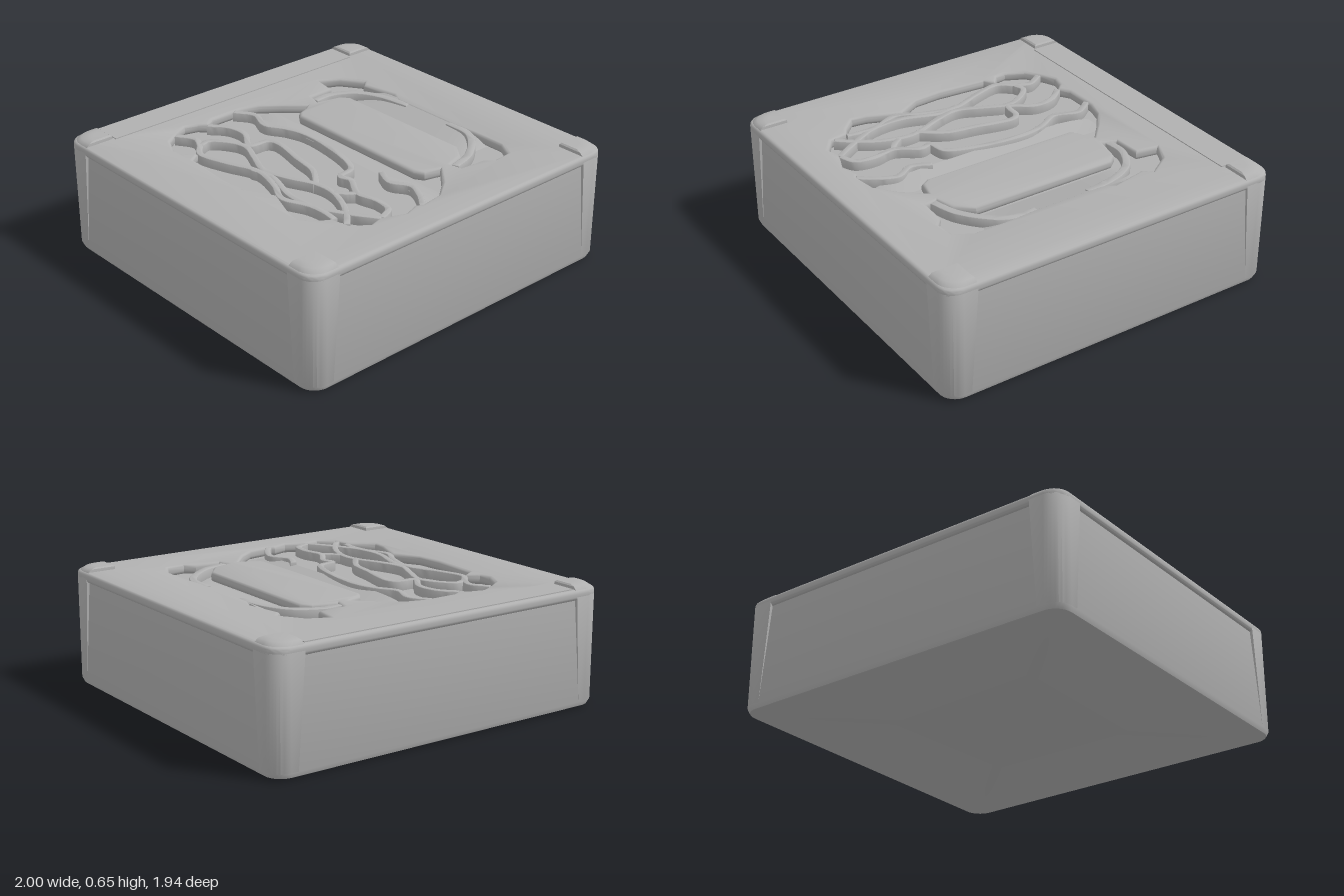
import * as THREE from 'three';
import { toCreasedNormals } from 'three/addons/utils/BufferGeometryUtils.js';

const W = 1, D = 0.97;        // half width and half depth
const FLOOR = 0.575, TOP = 0.63;

const grey = new THREE.MeshStandardMaterial({ color: 0xb0b0b0 });
grey.name = 'plain grey';

function add(group, name, geometry) {
  const mesh = new THREE.Mesh(toCreasedNormals(geometry, 0.6), grey);
  mesh.name = name;
  group.add(mesh);
  return mesh;
}

// Joins rings of [x, z] points at given heights and closes both ends.
function loft(levels) {
  const centre = (ring) => {
    const sum = ring.reduce((s, p) => [s[0] + p[0], s[1] + p[1]], [0, 0]);
    return ring.map(() => [sum[0] / ring.length, sum[1] / ring.length]);
  };
  const first = levels[0], last = levels[levels.length - 1];
  const all = [{ y: first.y, ring: centre(first.ring) }, ...levels, { y: last.y, ring: centre(last.ring) }];
  const n = first.ring.length, pos = [], index = [];
  all.forEach(({ y, ring }) => ring.forEach(([x, z]) => pos.push(x, y, z)));
  for (let i = 0; i < all.length - 1; i++) {
    for (let j = 0; j < n; j++) {
      const a = i * n + j, b = i * n + (j + 1) % n;
      index.push(a, a + n, b, a + n, b + n, b);
    }
  }
  const g = new THREE.BufferGeometry();
  g.setAttribute('position', new THREE.Float32BufferAttribute(pos, 3));
  g.setIndex(index);
  return g;
}

// Rounded rectangle as [x, z] points, running from +x towards +z.
function roundedRing(inset, r) {
  const pts = [];
  [[1, 1], [-1, 1], [-1, -1], [1, -1]].forEach(([sx, sz], q) => {
    for (let k = 0; k <= 8; k++) {
      const a = (q + k / 8) * Math.PI / 2;
      pts.push([sx * (W - inset - r) + r * Math.cos(a), sz * (D - inset - r) + r * Math.sin(a)]);
    }
  });
  return pts;
}

// Corner post section: square inside, rounded on the outer corner.
function postRing(sx, sz, inset, size) {
  const r = 0.09, pts = [[W - size, D - size], [W - inset, D - size]];
  for (let k = 0; k <= 8; k++) {
    const a = k / 8 * Math.PI / 2;
    pts.push([W - inset - r + r * Math.cos(a), D - inset - r + r * Math.sin(a)]);
  }
  pts.push([W - size, D - inset]);
  const ring = pts.map(([x, z]) => [x * sx, z * sz]);
  return sx * sz < 0 ? ring.reverse() : ring;
}

const vectors = (pts) => pts.map(([x, z]) => new THREE.Vector2(x, z));

// Extrudes an [x, z] shape downwards from a given top height.
function slab(shape, top, depth, bevel, bevelOffset = 0) {
  const g = new THREE.ExtrudeGeometry(shape, {
    depth: depth - 2 * bevel, bevelEnabled: true, bevelThickness: bevel,
    bevelSize: bevel, bevelOffset, bevelSegments: 4,
  });
  return g.rotateX(Math.PI / 2).translate(0, top - bevel, 0);
}

// Narrow raised strand following a smooth path.
function strand(path, width = 0.022) {
  const curve = new THREE.SplineCurve(vectors(path));
  const left = [], right = [], n = path.length * 5;
  for (let i = 0; i <= n; i++) {
    const p = curve.getPoint(i / n), t = curve.getTangent(i / n);
    left.push(new THREE.Vector2(p.x - t.y * width / 2, p.y + t.x * width / 2));
    right.unshift(new THREE.Vector2(p.x + t.y * width / 2, p.y - t.x * width / 2));
  }
  return slab(new THREE.Shape([...left, ...right]), TOP - 0.004, 0.06, 0.006);
}

// Sloping floor inside a recess, fading out at both ends.
function slope(x0, y0, x1, y1, z0, z1) {
  const g = new THREE.PlaneGeometry(x1 - x0, z1 - z0, 8, 24).rotateX(-Math.PI / 2);
  g.translate((x0 + x1) / 2, 0, (z0 + z1) / 2);
  const p = g.attributes.position;
  for (let i = 0; i < p.count; i++) {
    const u = (p.getX(i) - x0) / (x1 - x0), v = 2 * (p.getZ(i) - z0) / (z1 - z0) - 1;
    p.setY(i, FLOOR + 0.001 + (y0 + (y1 - y0) * u) * (1 - v ** 6));
  }
  return g;
}

// Outlines of the two carved recesses
const wavyRecess = [
  [-0.67, -0.48], [-0.62, -0.58], [-0.53, -0.64], [-0.46, -0.67], [-0.39, -0.65], [-0.35, -0.61],
  [-0.29, -0.65], [-0.1, -0.65], [0, -0.62], [0.1, -0.54], [0.2, -0.45], [0.17, -0.43], [0.11, -0.41],
  [0.08, -0.37], [0.08, 0.5], [0.11, 0.55], [0.2, 0.57], [0.1, 0.68], [0, 0.76], [-0.13, 0.78],
  [-0.16, 0.76], [-0.25, 0.79], [-0.35, 0.75], [-0.38, 0.74], [-0.45, 0.76], [-0.53, 0.7],
  [-0.55, 0.6], [-0.6, 0.57], [-0.67, 0.5], [-0.66, 0.42], [-0.59, 0.24], [-0.67, 0.1],
  [-0.68, -0.05], [-0.66, -0.33], [-0.6, -0.37], [-0.66, -0.42],
];
const curvedRecess = [
  [0.28, -0.45], [0.3, -0.52], [0.45, -0.53], [0.47, -0.65], [0.57, -0.6], [0.65, -0.48],
  [0.61, -0.44], [0.65, -0.24], [0.62, -0.18], [0.62, 0.25], [0.63, 0.38], [0.63, 0.58],
  [0.58, 0.67], [0.48, 0.68], [0.43, 0.64], [0.29, 0.63], [0.28, 0.57], [0.38, 0.54],
  [0.45, 0.45], [0.45, -0.37], [0.41, -0.42],
];

// Strand paths inside the recesses
const wavyStrands = [
  [[-0.55, -0.62], [-0.5, -0.53], [-0.53, -0.45], [-0.59, -0.36], [-0.55, -0.2], [-0.49, -0.03],
    [-0.53, 0.15], [-0.59, 0.28], [-0.54, 0.42], [-0.53, 0.52], [-0.54, 0.6]],
  [[-0.52, -0.45], [-0.46, -0.46], [-0.39, -0.38], [-0.36, -0.28], [-0.41, -0.15], [-0.46, -0.02],
    [-0.43, 0.12], [-0.37, 0.26], [-0.36, 0.38], [-0.4, 0.5], [-0.46, 0.6], [-0.53, 0.68]],
  [[-0.5, -0.05], [-0.48, 0.08], [-0.54, 0.28], [-0.53, 0.45], [-0.47, 0.58], [-0.37, 0.74]],
  [[-0.35, -0.61], [-0.28, -0.52], [-0.27, -0.4], [-0.34, -0.28], [-0.24, -0.26], [-0.21, -0.19],
    [-0.25, 0], [-0.28, 0.15], [-0.37, 0.28]],
  [[-0.14, -0.65], [-0.08, -0.55], [-0.12, -0.42], [-0.06, -0.3], [-0.03, -0.15], [-0.06, 0.1],
    [-0.12, 0.26], [-0.22, 0.29], [-0.21, 0.36], [-0.28, 0.48], [-0.26, 0.6], [-0.28, 0.7], [-0.36, 0.74]],
  [[-0.04, 0.4], [-0.08, 0.5], [-0.03, 0.6], [-0.07, 0.7], [-0.13, 0.78]],
  [[-0.36, 0.4], [-0.32, 0.45], [-0.28, 0.48]],
];
const curvedStrands = [
  [[0.29, -0.48], [0.4, -0.48], [0.52, -0.41], [0.59, -0.28], [0.62, -0.1]],
  [[0.29, 0.59], [0.42, 0.55], [0.54, 0.46], [0.61, 0.36], [0.62, 0.22]],
];

export function createModel() {
  const model = new THREE.Group();
  model.name = 'carvedBox';

  // Body with side panels leaning slightly inwards
  add(model, 'body', loft([[0, 0.035], [0.01, 0.01], [0.035, 0], [FLOOR, 0.016]]
    .map(([y, inset]) => ({ y, ring: roundedRing(inset, 0.09) }))));

  // Corner posts standing just above the lid
  const posts = new THREE.Group();
  posts.name = 'cornerPosts';
  model.add(posts);
  const postLevels = [[0.002, 0.036, 0.13], [0.012, 0.011, 0.13], [0.036, 0, 0.13], [0.6, 0, 0.17],
    [0.63, 0.012, 0.17], [0.645, 0.03, 0.168], [0.652, 0.06, 0.16]];
  for (const sx of [-1, 1]) for (const sz of [-1, 1]) {
    add(posts, 'cornerPost', loft(postLevels.map(([y, i, s]) => ({ y, ring: postRing(sx, sz, i, s) }))));
  }

  // Lid with both recesses cut out
  const lidShape = new THREE.Shape(vectors(roundedRing(0, 0.09)));
  for (const outline of [wavyRecess, curvedRecess]) lidShape.holes.push(new THREE.Path(vectors(outline)));
  add(model, 'lid', slab(lidShape, TOP, TOP - FLOOR, 0.02, -0.02));

  // Low strip along the back of the lid
  const strip = new THREE.BoxGeometry(1.64, 0.006, 0.16).translate(0, TOP + 0.002, -0.865);
  add(model, 'backStrip', strip);

  // Carved relief
  const relief = new THREE.Group();
  relief.name = 'carvedRelief';
  model.add(relief);
  wavyStrands.forEach((path) => add(relief, 'wavyStrand', strand(path)));
  curvedStrands.forEach((path) => add(relief, 'curvedStrand', strand(path, 0.03)));
  add(relief, 'innerSlope', slope(-0.05, 0.035, 0.08, 0, -0.6, 0.75));
  add(relief, 'outerSlope', slope(0.45, 0, 0.64, 0.052, -0.42, 0.48));
  return model;
}
